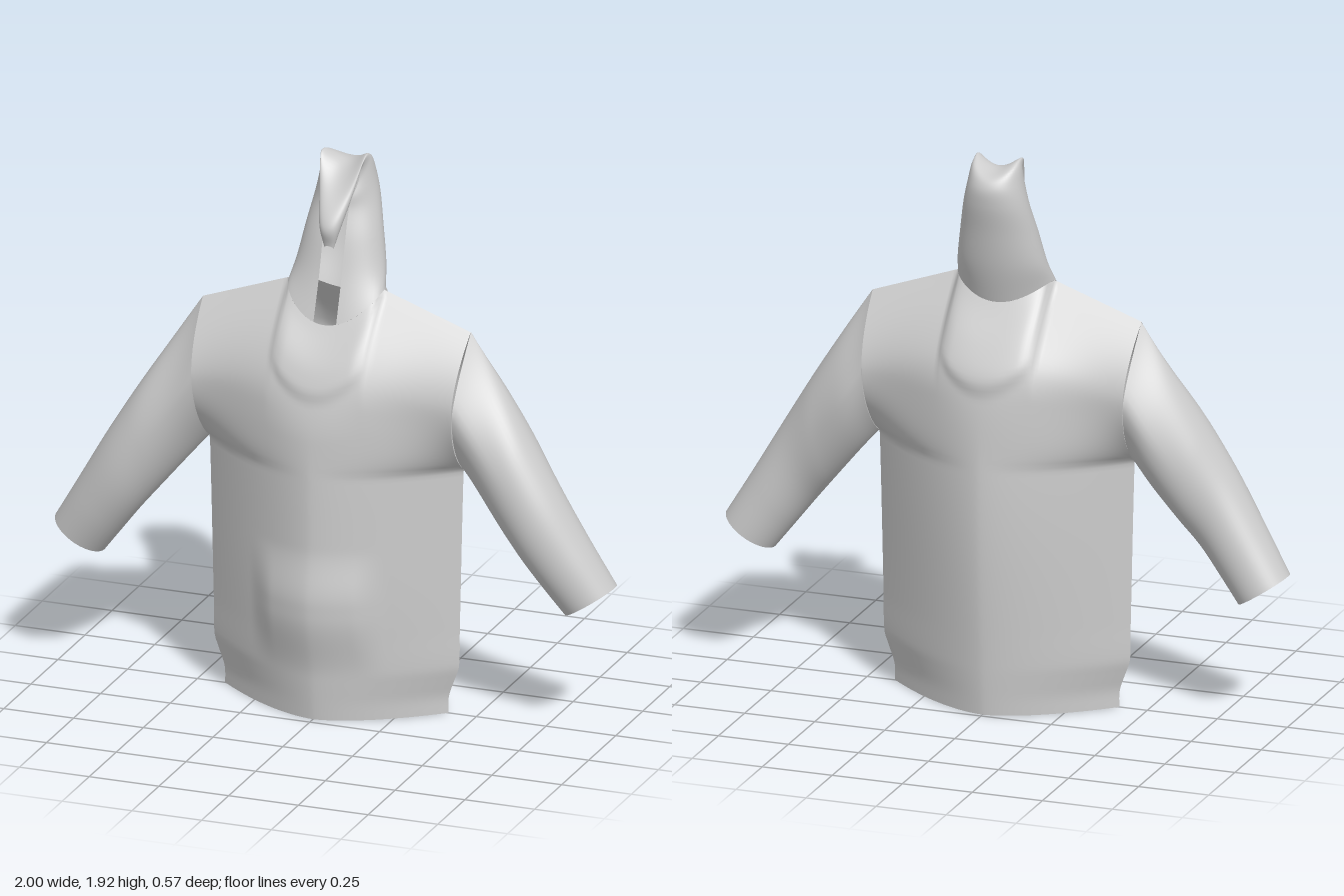
import * as THREE from 'three';
import { mergeVertices } from 'three/addons/utils/BufferGeometryUtils.js';

const cloth = new THREE.MeshStandardMaterial({ color: 0xcccccc, side: THREE.DoubleSide });
cloth.name = 'light grey cloth';

// Smooth interpolation of table rows [key, value, value, ...]
function at(table, key) {
  const last = table.length - 1;
  let i = 0;
  while (i < last - 1 && key > table[i + 1][0]) i++;
  const a = table[i], b = table[i + 1], h = b[0] - a[0], t = (key - a[0]) / h;
  const slope = (k, j) => {
    const p = table[Math.max(k - 1, 0)], q = table[Math.min(k + 1, last)];
    return (q[j] - p[j]) / (q[0] - p[0]);
  };
  const t2 = t * t, t3 = t2 * t;
  return a.slice(1).map((_, n) => {
    const j = n + 1;
    return (2 * t3 - 3 * t2 + 1) * a[j] + (t3 - 2 * t2 + t) * h * slope(i, j)
      + (3 * t2 - 2 * t3) * b[j] + (t3 - t2) * h * slope(i + 1, j);
  });
}

// Smooth sheet from a rule point(u, v), with u and v running 0..1
function sheet(name, nu, nv, point) {
  const pos = [], index = [];
  for (let j = 0; j <= nv; j++)
    for (let i = 0; i <= nu; i++) pos.push(...point(i / nu, j / nv));
  for (let j = 0; j < nv; j++)
    for (let i = 0; i < nu; i++) {
      const a = j * (nu + 1) + i, d = a + nu + 1;
      index.push(a, a + 1, d, a + 1, d + 1, d);
    }
  let geo = new THREE.BufferGeometry();
  geo.setAttribute('position', new THREE.Float32BufferAttribute(pos, 3));
  geo.setIndex(index);
  geo = mergeVertices(geo, 1e-5);
  geo.computeVertexNormals();
  const mesh = new THREE.Mesh(geo, cloth);
  mesh.name = name;
  return mesh;
}

const { smoothstep: smooth, lerp } = THREE.MathUtils;
const ARMPIT = 0.88, TOP = 1.37, NECK = 0.17;

// Torso: half width and depth by height
const width = [[0, 0.4], [0.06, 0.402], [0.12, 0.422], [0.17, 0.438], [0.3, 0.441], [0.88, 0.455], [1.15, 0.467], [1.37, 0.48]];
const frontDepth = [[0, 0.22], [0.17, 0.238], [0.4, 0.257], [0.6, 0.262], [1, 0.258], [1.13, 0.236], [1.25, 0.19], [1.37, 0.115]];
const backDepth = [[0, 0.235], [0.17, 0.25], [0.6, 0.28], [0.9, 0.28], [1.15, 0.255], [1.25, 0.2], [1.37, 0.115]];

function torsoPanel(name, side) {
  return sheet(name, 96, 90, (u, v) => {
    const k = 2 * u - 1, level = v * TOP;
    const x = k * at(width, level)[0] * side;
    const s = Math.max(0, (level - ARMPIT) / (TOP - ARMPIT));
    const n = Math.sqrt(Math.max(0, 1 - (x / NECK) ** 2));
    // sloping shoulder, dipping round the neck
    const slope = 1.48 - 0.11 * Math.max(0, Math.abs(x) - NECK) / (0.48 - NECK);
    const rim = n > 0 ? 1.395 - side * 0.025 * n + 0.085 * (1 - n * n) : slope;
    const y = s > 0 ? ARMPIT + s * (rim - ARMPIT) : level;
    // arm opening at the edge
    const c = 2 * s - 1;
    const edge = s > 0 ? 0.145 * (c > 0 ? 1 - c ** 1.8 : (1 - c * c) ** 0.8) : 0;
    const centre = at(side > 0 ? frontDepth : backDepth, level)[0];
    // pointed lens at the hem, bell shape at the chest, round at the neck
    const lens = 1 - Math.abs(k) ** 1.6;
    const bell = Math.cos(k * Math.PI / 2) ** 2;
    const body = lerp(lens, bell, smooth(s, 0, 0.45));
    let z = edge + (centre - edge) * lerp(body, n, smooth(s, 0.4, 1));
    // raised bib under the neck
    const bibBottom = 1.12 + 0.1 * (x / NECK) ** 2;
    z += 0.012 * (1 - smooth(Math.abs(x), 0.12, 0.19)) * smooth(y, bibBottom, bibBottom + 0.06) * (1 - smooth(s, 0.7, 1));
    // front pouch
    if (side > 0)
      z += 0.026 * (1 - smooth(Math.abs(x), 0.14, 0.25)) * smooth(y, 0.15, 0.38) * (1 - smooth(y, 0.42, 0.62));
    return [x, y, z * side];
  });
}

// Sleeve sections: key, top x, top y, bottom x, bottom y, front z, back z
const sleeveRows = [
  [0, 0.48, 1.37, 0.455, 0.88, 0.14, -0.145],
  [1, 0.58, 1.22, 0.52, 0.805, 0.14, -0.143],
  [2, 0.69, 1.05, 0.62, 0.685, 0.148, -0.112],
  [3, 0.8, 0.87, 0.69, 0.6, 0.148, -0.086],
  [4, 0.905, 0.69, 0.76, 0.51, 0.13, -0.085],
  [5, 1, 0.53, 0.83, 0.42, 0.105, -0.09],
];

function sleeve(name, side) {
  return sheet(name, 48, 40, (u, v) => {
    const [tx, ty, bx, by, zf, zb] = at(sleeveRows, v * 5);
    const a = (2 * u - 1) * Math.PI * side;
    const c = Math.cos(a), sn = Math.sin(a);
    // peaked at the shoulder, round further down
    const peak = Math.sign(sn) * (c > 0 ? 1 - c ** 1.3 : (1 - c * c) ** 0.8);
    const w = lerp(peak, sn, smooth(v, 0, 0.45));
    return [
      side * ((tx + bx) / 2 + (tx - bx) / 2 * c),
      (ty + by) / 2 + (ty - by) / 2 * c,
      (zf + zb) / 2 + (zf - zb) / 2 * w,
    ];
  });
}

// Hood sections: key, back z, back y, front z, front y, half width, wrap angle, side lift
const hoodRows = [
  [0, -0.115, 1.42, 0.115, 1.37, 0.17, 2.9, 0.085],
  [1, -0.152, 1.55, 0.065, 1.52, 0.155, 2.88, 0.02],
  [2, -0.178, 1.68, 0.03, 1.65, 0.133, 2.835, 0.005],
  [3, -0.198, 1.78, 0, 1.74, 0.113, 2.78, 0.005],
  [4, -0.197, 1.845, -0.005, 1.78, 0.097, 2.6, 0.025],
  [5, -0.16, 1.882, -0.02, 1.8, 0.085, 2.3, 0.06],
  [6, -0.07, 1.888, -0.03, 1.815, 0.078, 2.1, 0.06],
  [7, 0.025, 1.8, -0.005, 1.745, 0.058, 2.1, 0.03],
  [8, 0.09, 1.71, 0.04, 1.67, 0.036, 2.1, 0.012],
  [9, 0.08, 1.64, 0.065, 1.62, 0.016, 2.1, 0],
];

function hood() {
  return sheet('hood', 48, 72, (u, v) => {
    const [bz, by, fz, fy, w, wrap, lift] = at(hoodRows, v * 9);
    const a = (2 * u - 1) * wrap;
    const c = Math.cos(a), sn = Math.sin(a);
    return [
      -w * sn,
      (by + fy) / 2 + (by - fy) / 2 * c + lift * sn * sn,
      (bz + fz) / 2 + (bz - fz) / 2 * c,
    ];
  });
}

export function createModel() {
  const model = new THREE.Group();
  model.name = 'hooded sweatshirt';
  model.add(
    torsoPanel('frontPanel', 1),
    torsoPanel('backPanel', -1),
    sleeve('leftSleeve', 1),
    sleeve('rightSleeve', -1),
    hood(),
  );
  return model;
}
